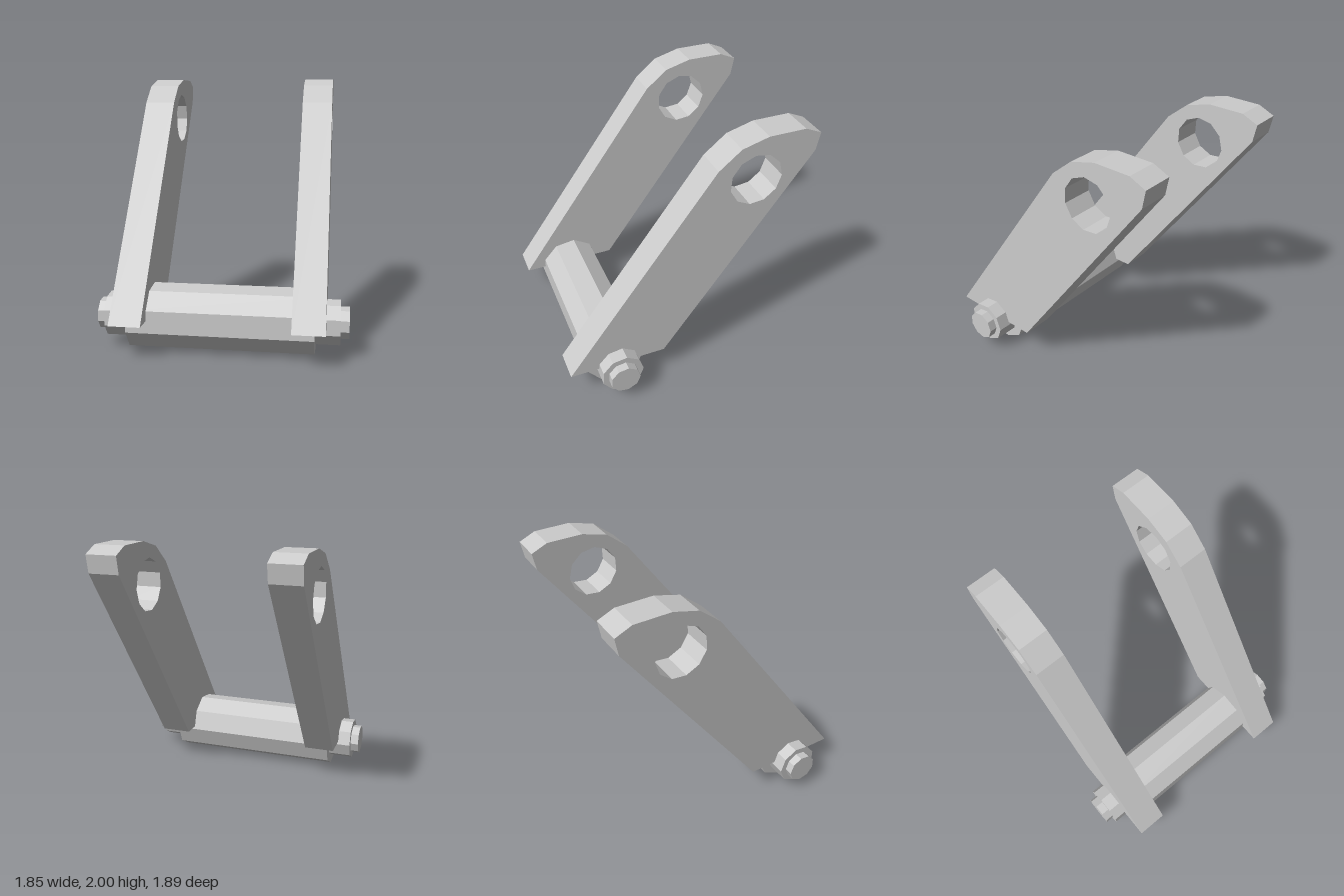
import * as THREE from 'three';

const material = new THREE.MeshStandardMaterial({ color: 0xcccccc, flatShading: true });

// Regular polygon in the (z, y) plane
function polygon(z, y, radius, sides, startDegrees) {
  return Array.from({ length: sides }, (_, i) => {
    const a = THREE.MathUtils.degToRad(startDegrees) + (i / sides) * Math.PI * 2;
    return new THREE.Vector2(z + radius * Math.cos(a), y + radius * Math.sin(a));
  });
}

// Flat-sided prism: a (z, y) outline running along x from x0 to x1
function prism(name, outline, x0, x1, hole) {
  const shape = new THREE.Shape(outline);
  if (hole) shape.holes.push(new THREE.Path(hole));
  const geometry = new THREE.ExtrudeGeometry(shape, { depth: x1 - x0, bevelEnabled: false });
  geometry.rotateY(-Math.PI / 2); // shape x becomes z, depth runs along -x
  geometry.translate(x1, 0, 0);
  const mesh = new THREE.Mesh(geometry, material);
  mesh.name = name;
  return mesh;
}

export function createModel() {
  const model = new THREE.Group();
  model.name = 'shackle';

  // Slanted arm outline with a rounded tip, and its eye
  const armOutline = [
    [0.95, 0.255], [-0.175, 1.81], [-0.34, 1.945], [-0.54, 2],
    [-0.82, 2], [-0.945, 1.945], [-0.92, 1.81], [0.2, 0.255],
  ].map(([z, y]) => new THREE.Vector2(z, y));
  const eye = polygon(-0.473, 1.673, 0.2, 11, 83.7);

  // Nine-sided section shared by the crossbar, nuts and bolt ends
  const barSection = (radius) => polygon(0.572, 0.238, radius, 9, 21.7);

  model.add(prism('crossbar', barSection(0.24), -0.68, 0.68));

  for (const [side, sign] of [['left', 1], ['right', -1]]) {
    const add = (name, outline, inner, outer, hole) => {
      const [x0, x1] = sign > 0 ? [inner, outer] : [-outer, -inner];
      model.add(prism(side + name, outline, x0, x1, hole));
    };
    add('Arm', armOutline, 0.527, 0.761, eye);
    add('Nut', barSection(0.165), 0.68, 0.86);
    add('BoltEnd', barSection(0.117), 0.86, 0.923);
  }
  return model;
}
